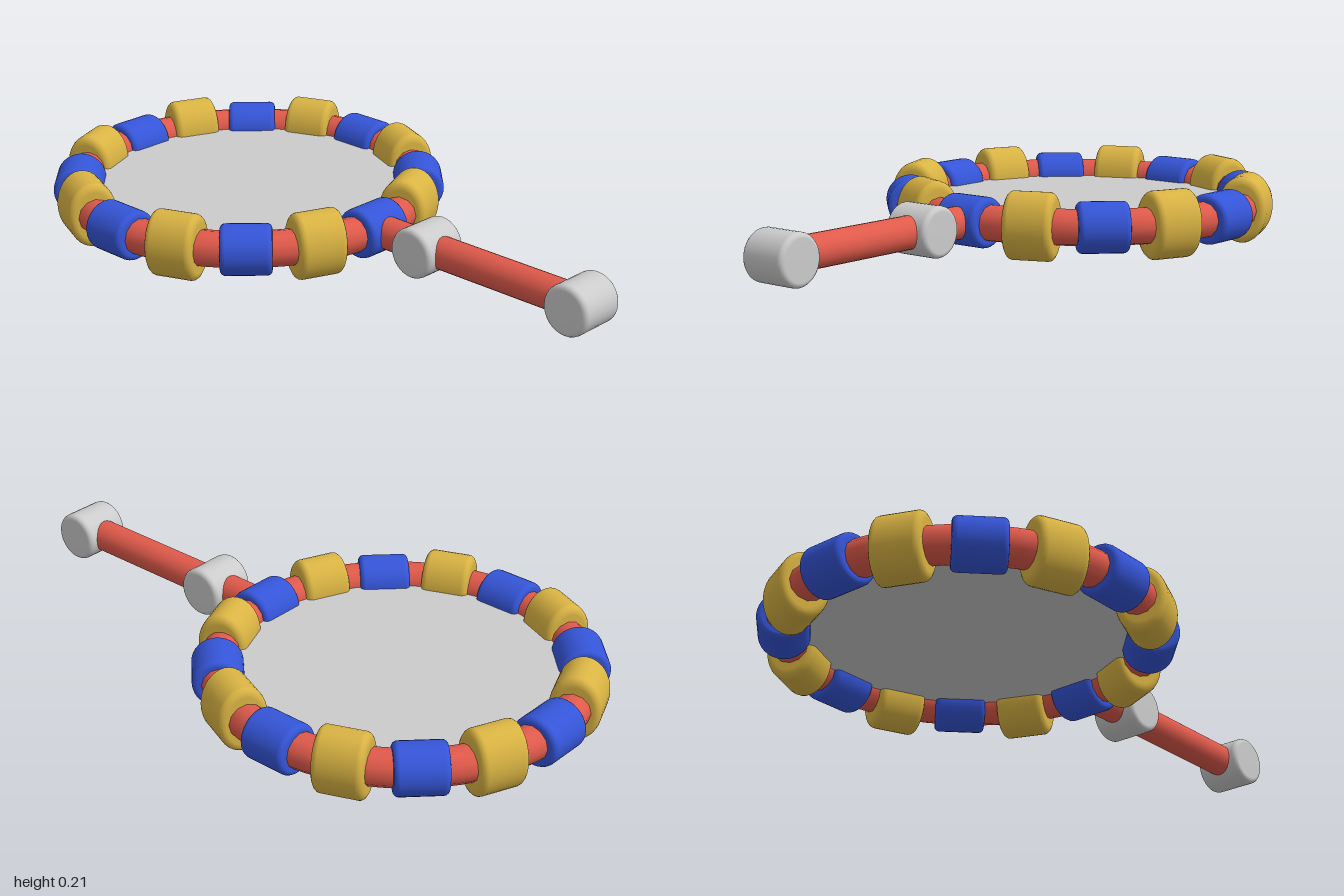
import * as THREE from 'three';

const CENTER_Y = 0.107, RING_Z = -0.389, RING_R = 0.534, BEAD_R = 0.077;

const red = new THREE.MeshStandardMaterial({ color: 0xe05a4b });
const blue = new THREE.MeshStandardMaterial({ color: 0x3555d8 });
const gold = new THREE.MeshStandardMaterial({ color: 0xd9b343 });
const grey = new THREE.MeshStandardMaterial({ color: 0xcccccc });

// Short cylinder along x with rounded rims
function beadGeometry(radius, length, bevel) {
  const h = length / 2, pts = [new THREE.Vector2(0, -h)];
  for (const side of [-1, 1]) {
    for (let i = 0; i <= 4; i++) {
      const a = (side < 0 ? i - 4 : i) * Math.PI / 8;
      pts.push(new THREE.Vector2(
        radius - bevel + bevel * Math.cos(a),
        side * (h - bevel) + bevel * Math.sin(a)));
    }
  }
  pts.push(new THREE.Vector2(0, h));
  return new THREE.LatheGeometry(pts, 32).rotateZ(-Math.PI / 2);
}

export function createModel() {
  const model = new THREE.Group();
  const add = (name, geometry, material, x, y, z, parent = model) => {
    const mesh = new THREE.Mesh(geometry, material);
    mesh.name = name;
    mesh.position.set(x, y, z);
    parent.add(mesh);
    return mesh;
  };

  // Hoop
  add('hoop', new THREE.TorusGeometry(RING_R, 0.055, 12, 64).rotateX(Math.PI / 2), red, 0, CENTER_Y, RING_Z);

  // Thin disc filling the hoop
  add('disc', new THREE.CylinderGeometry(RING_R, RING_R, 0.01, 64), grey, 0, CENTER_Y, RING_Z);

  // Alternating beads: round blue, tall oval gold
  const beads = new THREE.Group();
  beads.name = 'beads';
  model.add(beads);
  const blueBead = beadGeometry(BEAD_R, 0.154, 0.016);
  const goldBead = beadGeometry(BEAD_R, 0.15, 0.02).scale(1, 1.34, 1);
  for (let i = 0; i < 16; i++) {
    const a = i * Math.PI / 8, even = i % 2 === 0;
    const bead = add(even ? 'blueBead' : 'goldBead', even ? blueBead : goldBead, even ? blue : gold,
      Math.sin(a) * RING_R, CENTER_Y, RING_Z + Math.cos(a) * RING_R, beads);
    bead.rotation.y = a;
  }

  // Handle rod with two cross pieces
  add('handle', new THREE.CylinderGeometry(0.05, 0.05, 0.77, 24).rotateX(Math.PI / 2), red, 0, CENTER_Y, 0.535);
  const cross = beadGeometry(BEAD_R, 0.154, 0.016);
  add('handleCollar', cross, grey, 0, CENTER_Y, 0.358);
  add('handleEnd', cross, grey, 0, CENTER_Y, 0.923);

  return model;
}
